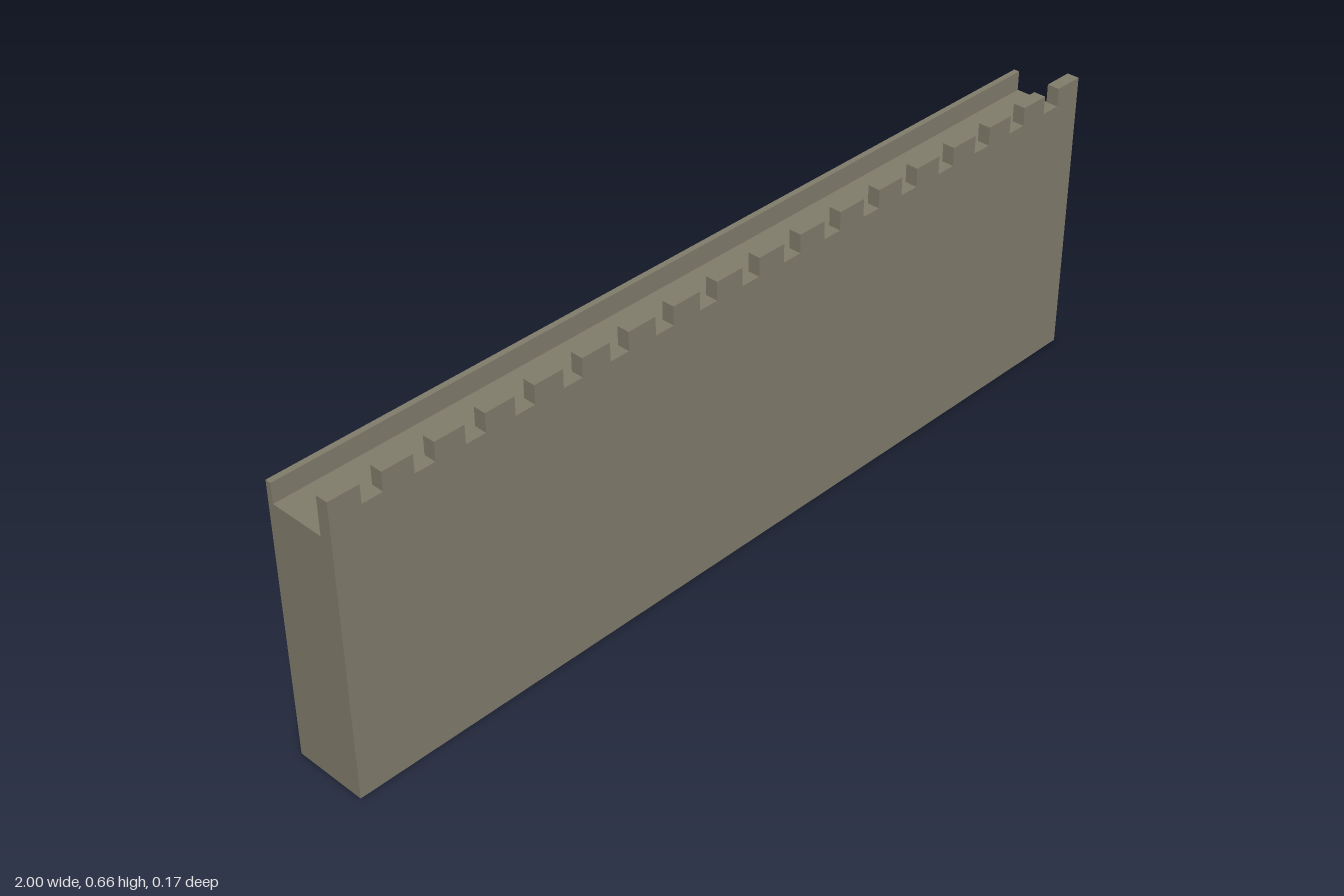
import * as THREE from 'three';

const stone = new THREE.MeshStandardMaterial({ color: 0x827d6c, side: THREE.DoubleSide });
stone.name = 'stone';

const FRONT = 0.083, INNER = 0.055, BACK_INNER = -0.07, BACK = -0.083;
const WALK = 0.574, SILL = 0.618, TOP = 0.659, BACK_TOP = 0.618;
const COUNT = 18, WIDTH = 0.068, STEP = (2 - WIDTH) / (COUNT - 1);

// Flat-shaded band of quads between two matching rows of points
function band(a, b) {
  const pos = [];
  for (let i = 0; i < a.length - 1; i++) {
    for (const p of [a[i], b[i], a[i + 1], a[i + 1], b[i], b[i + 1]]) pos.push(...p);
  }
  const g = new THREE.BufferGeometry();
  g.setAttribute('position', new THREE.Float32BufferAttribute(pos, 3));
  g.computeVertexNormals();
  return g;
}

function face(points) {
  return new THREE.ShapeGeometry(new THREE.Shape(points.map(([x, y]) => new THREE.Vector2(x, y))));
}

export function createModel() {
  const wall = new THREE.Group();
  wall.name = 'battlementWall';
  const add = (name, geometry) => {
    const mesh = new THREE.Mesh(geometry, stone);
    mesh.name = name;
    wall.add(mesh);
  };

  // Crenellated top line, running from -x to +x
  const crest = [];
  for (let i = 0; i < COUNT; i++) {
    const x0 = -1 + i * STEP, x1 = x0 + WIDTH;
    if (i > 0) crest.push([x0, SILL]);
    crest.push([x0, TOP], [x1, TOP]);
    if (i < COUNT - 1) crest.push([x1, SILL]);
  }

  // Front wall, inner side of its parapet, and the tops of the merlons
  add('frontWall', face([...crest, [1, 0], [-1, 0]]).translate(0, 0, FRONT));
  add('parapetInside', face([...crest, [1, WALK], [-1, WALK]]).rotateY(Math.PI).translate(0, 0, INNER));
  add('merlonTops', band(crest.map(([x, y]) => [x, y, INNER]), crest.map(([x, y]) => [x, y, FRONT])));

  // Walkway, low back parapet and back wall; the underside stays open
  const section = [[INNER, WALK], [BACK_INNER, WALK], [BACK_INNER, BACK_TOP], [BACK, BACK_TOP], [BACK, 0]];
  const row = (x) => section.map(([z, y]) => [x, y, z]);
  add('walkwayAndBackWall', band(row(-1), row(1)));

  // End walls
  const end = [[FRONT, 0], [FRONT, TOP], [INNER, TOP], ...section];
  add('rightEnd', face(end).rotateY(-Math.PI / 2).translate(-1, 0, 0));
  add('leftEnd', face(end.map(([z, y]) => [-z, y])).rotateY(Math.PI / 2).translate(1, 0, 0));

  return wall;
}
